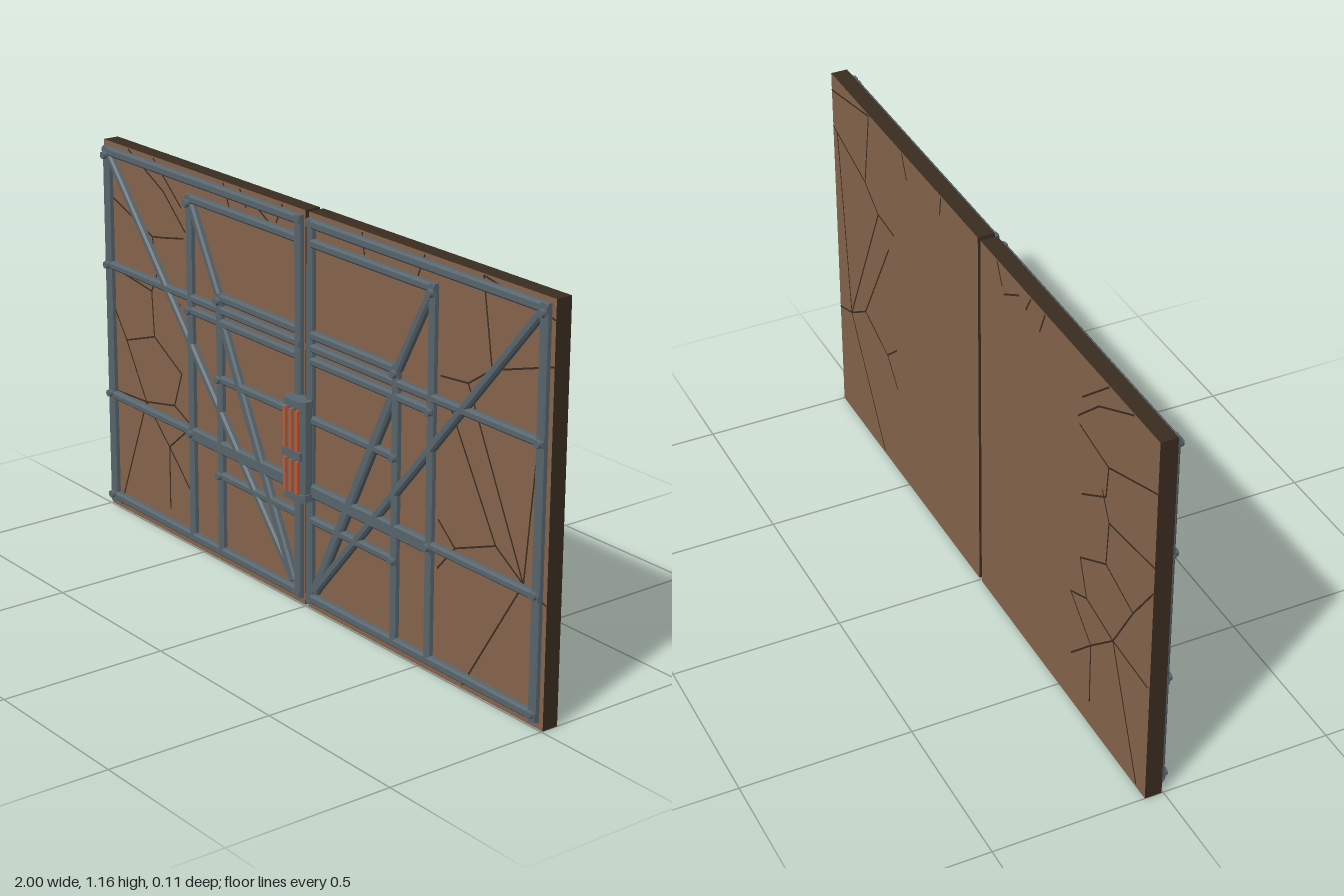
import * as THREE from 'three';

const mat = (name, color) => {
  const m = new THREE.MeshStandardMaterial({ color });
  m.name = name;
  return m;
};

export function createModel() {
  const rust = mat('rustBrown', 0x86644b);
  const dark = mat('darkEdge', 0x3a2d21);
  const steel = mat('steelGrey', 0x59666d);
  const orange = mat('orange', 0xc9572b);
  const model = new THREE.Group();
  model.name = 'doubleGate';

  const BACK = -0.055, FACE = -0.005, TOP = 1.165, BAR_FRONT = 0.013;

  const add = (parent, name, geo, material, x = 0, y = 0, z = 0) => {
    const m = new THREE.Mesh(geo, material);
    m.name = name;
    m.position.set(x, y, z);
    parent.add(m);
    return m;
  };

  // Bar with bevelled front edges, running between two points on the door face
  const addBar = (parent, name, x1, y1, x2, y2, w = 0.026, front = BAR_FRONT) => {
    const h = w / 2, c = 0.006;
    const section = new THREE.Shape([
      [-h, FACE], [h, FACE], [h, front - c], [h - c, front], [c - h, front], [-h, front - c],
    ].map(([x, y]) => new THREE.Vector2(x, y)));
    const length = Math.hypot(x2 - x1, y2 - y1);
    const geo = new THREE.ExtrudeGeometry(section, { depth: length, bevelEnabled: false });
    geo.rotateX(Math.PI / 2);          // length along -y, section depth along +z
    const bar = add(parent, name, geo, steel, x1, y1);
    bar.rotation.z = Math.atan2(y2 - y1, x2 - x1) + Math.PI / 2;
  };

  const rivetGeo = new THREE.CylinderGeometry(0.011, 0.013, 0.012, 8).rotateX(Math.PI / 2);

  // Each row: x1, y1, x2, y2, width for one door, mirrored for the other
  const bars = {
    frameBar: [
      [0.97, 0.02, 0.97, 1.15, 0.03], [0.027, 0.02, 0.027, 1.15, 0.026],
      [0.015, 1.137, 0.985, 1.137, 0.028], [0.015, 0.037, 0.985, 0.037, 0.028],
    ],
    uprightBar: [[0.545, 0.04, 0.545, 1.095, 0.025], [0.4, 0.04, 0.4, 0.835, 0.025]],
    crossBar: [
      [0.03, 1.083, 0.557, 1.083, 0.026], [0.03, 0.822, 0.412, 0.822, 0.026],
      [0.015, 0.785, 0.985, 0.785, 0.025], [0.03, 0.747, 0.557, 0.747, 0.025],
      [0.03, 0.575, 0.412, 0.575, 0.025], [0.015, 0.37, 0.985, 0.37, 0.025],
      [0.03, 0.365, 0.557, 0.365, 0.042], [0.03, 0.277, 0.412, 0.277, 0.025],
    ],
    diagonalBar: [
      [0.955, 1.12, 0.05, 0.065, 0.025], [0.39, 0.75, 0.05, 0.065, 0.032],
      [0.535, 1.065, 0.405, 0.825, 0.026],
    ],
  };
  const rivets = [
    [0.97, 1.125], [0.97, 0.785], [0.97, 0.375], [0.97, 0.043],
    [0.545, 1.07], [0.545, 0.747], [0.545, 0.365], [0.4, 0.812],
    [0.4, 0.575], [0.4, 0.277],
  ];

  for (const side of [-1, 1]) {
    const door = new THREE.Group();
    door.name = side > 0 ? 'leftDoor' : 'rightDoor';
    model.add(door);
    add(door, 'doorPanel', new THREE.BoxGeometry(0.992, TOP, FACE - BACK),
      [dark, dark, dark, dark, rust, rust], side * 0.504, TOP / 2, (BACK + FACE) / 2);
    for (const [name, rows] of Object.entries(bars))
      for (const [x1, y1, x2, y2, w] of rows) addBar(door, name, side * x1, y1, side * x2, y2, w);
    for (const [x, y] of rivets) add(door, 'rivet', rivetGeo, steel, side * x, y, 0.017);
  }

  // Cracks: polylines in hundredths of a unit, on the front and back of the panels
  const rightCracks = [
    [-100, 101, -75, 92, -69, 93, -59, 95], [-87, 116, -69, 107, -58, 97],
    [-74, 116, -60, 104], [-75, 92, -74, 82, -61, 74],
    [-100, 78, -76, 75, -72, 83], [-76, 75, -75, 61],
    [-100, 70, -90, 56, -75, 61, -61, 53], [-90, 56, -80, 39, -99, 38],
    [-61, 53, -65, 42, -80, 39, -95, 1], [-80, 39, -68, 28, -68, 8],
    [-68, 28, -56, 38], [-65, 42, -56, 38], [-68, 28, -57, 17],
  ];
  const leftCracks = [
    [73, 116, 100, 111], [73, 116, 77, 92, 100, 99],
    [77, 92, 68, 86, 57, 85], [68, 86, 91, 38], [97, 98, 91, 38],
    [61, 78, 80, 45], [100, 35, 91, 38, 80, 45, 64, 39, 57, 31], [64, 39, 57, 45],
    [91, 38, 68, 1],
  ];
  const topNicks = [
    [-39, 116, -36, 109], [-31, 116, -28, 111], [-24, 113, -15, 108],
    [-11, 116, -14, 110], [24, 116, 25, 110], [50, 116, 47, 109],
  ];
  const cracks = new THREE.Group();
  cracks.name = 'cracks';
  model.add(cracks);
  for (const line of [...rightCracks, ...leftCracks, ...topNicks])
    for (let i = 0; i + 3 < line.length; i += 2) {
      const [x1, y1, x2, y2] = line.slice(i, i + 4).map((v) => v / 100);
      const geo = new THREE.BoxGeometry(Math.hypot(x2 - x1, y2 - y1), 0.005, 0.001);
      for (const z of [FACE, BACK])
        add(cracks, 'crack', geo, dark, (x1 + x2) / 2, (y1 + y2) / 2, z)
          .rotation.z = Math.atan2(y2 - y1, x2 - x1);
    }

  // Central lock: bevelled housing with collars and three glowing strips
  const lock = new THREE.Group();
  lock.name = 'centreLock';
  model.add(lock);
  const housing = (w, z0, z1, y0, y1, name) => {
    const c = 0.014;
    const s = new THREE.Shape([
      [-w + c, z0], [w - c, z0], [w, z0 + c], [w, z1 - c], [w - c, z1],
      [c - w, z1], [-w, z1 - c], [-w, z0 + c],
    ].map(([x, z]) => new THREE.Vector2(x, -z)));
    const g = new THREE.ExtrudeGeometry(s, { depth: y1 - y0, bevelEnabled: false });
    add(lock, name, g.rotateX(-Math.PI / 2), steel, 0, y0);
  };
  housing(0.042, -0.003, 0.046, 0.345, 0.62, 'lockHousing');
  housing(0.047, 0.0, 0.05, 0.338, 0.36, 'lockFoot');
  housing(0.047, 0.0, 0.05, 0.615, 0.635, 'lockCap');
  add(lock, 'lockBand', new THREE.BoxGeometry(0.082, 0.024, 0.01), steel, 0, 0.475, 0.048);
  for (const x of [-0.027, 0, 0.027])
    for (const [y0, y1] of [[0.363, 0.46], [0.49, 0.61]])
      add(lock, 'lightStrip', new THREE.BoxGeometry(0.011, y1 - y0, 0.01), orange,
        x, (y0 + y1) / 2, 0.05);
  for (const x of [-0.0135, 0.0135])
    add(lock, 'lockRib', new THREE.BoxGeometry(0.009, 0.255, 0.01), steel, x, 0.487, 0.048);

  return model;
}
